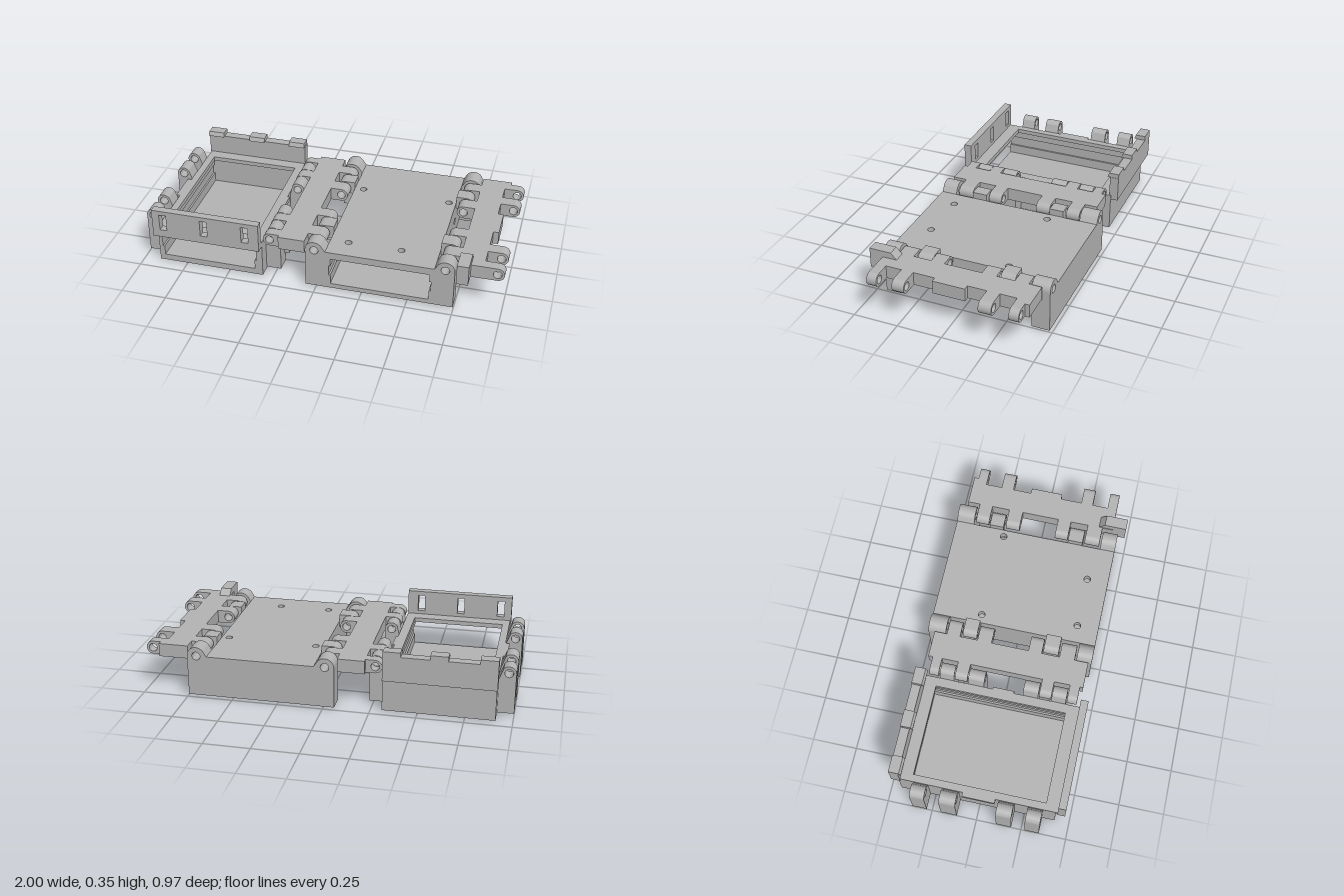
import * as THREE from 'three';

const grey = new THREE.MeshStandardMaterial({ color: 0xb3b3b3 });
grey.name = 'plain grey';
const PIVOT_Y = 0.236, PIN_R = 0.023;

function add(parent, name, geometry) {
  const mesh = new THREE.Mesh(geometry, grey);
  mesh.name = name;
  parent.add(mesh);
  return mesh;
}

// Box given by its limits
function block(parent, name, x0, x1, y0, y1, z0, z1) {
  const g = new THREE.BoxGeometry(x1 - x0, y1 - y0, z1 - z0);
  g.translate((x0 + x1) / 2, (y0 + y1) / 2, (z0 + z1) / 2);
  return add(parent, name, g);
}

const poly = (pts) => new THREE.Shape(pts.map(([a, b]) => new THREE.Vector2(a, b)));
const rect = (a0, a1, b0, b1) => poly([[a0, b0], [a1, b0], [a1, b1], [a0, b1]]);
const circle = (a, b, r) => new THREE.Path().absarc(a, b, r, 0, Math.PI * 2, false);
const extrude = (shape, depth) =>
  new THREE.ExtrudeGeometry(shape, { depth, bevelEnabled: false, curveSegments: 16 });

// Extrusions of an x-y, z-y or x-z outline
const alongZ = (shape, z0, z1) => extrude(shape, z1 - z0).translate(0, 0, z0);
const alongX = (shape, x0, x1) => extrude(shape, x1 - x0).rotateY(-Math.PI / 2).translate(x1, 0, 0);
const alongY = (shape, y0, y1) => extrude(shape, y1 - y0).rotateX(Math.PI / 2).translate(0, y1, 0);

// Hinge finger reaching from a body edge to a pin hole
function finger(parent, edge, pivot, r, z0, z1) {
  const s = new THREE.Shape();
  s.moveTo(edge, PIVOT_Y - r);
  s.lineTo(pivot, PIVOT_Y - r);
  s.absarc(pivot, PIVOT_Y, r, -Math.PI / 2, Math.PI / 2, pivot < edge);
  s.lineTo(edge, PIVOT_Y + r);
  s.closePath();
  s.holes.push(circle(pivot, PIVOT_Y, PIN_R));
  add(parent, 'hingeFinger', alongZ(s, z0, z1));
}

// Full-height post with a rounded knuckle on top
function post(parent, inner, pivot, r, shoulder, z0, z1) {
  const d = Math.sign(pivot - inner);
  const s = new THREE.Shape();
  s.moveTo(inner, 0.008);
  s.lineTo(pivot + d * r, 0.008);
  s.lineTo(pivot + d * r, PIVOT_Y);
  s.absarc(pivot, PIVOT_Y, r, d > 0 ? 0 : Math.PI, d > 0 ? Math.PI * 0.8 : Math.PI * 0.2, d < 0);
  s.lineTo(inner, shoulder);
  s.closePath();
  s.holes.push(circle(pivot, PIVOT_Y, PIN_R));
  add(parent, 'hingePost', alongZ(s, z0, z1));
}

function openTray() {
  const g = new THREE.Group();
  g.name = 'openTray';
  block(g, 'trayFloor', -0.91, -0.31, 0, 0.035, -0.445, 0.42);
  block(g, 'trayBackWall', -0.91, -0.31, 0.035, 0.19, -0.445, -0.39);
  // Side walls, each with a groove on the inside
  for (const [x0, x1, i0, i1] of [[-0.91, -0.89, -0.89, -0.88], [-0.345, -0.31, -0.355, -0.345]]) {
    block(g, 'traySideWall', x0, x1, 0.035, 0.19, -0.39, 0.42);
    block(g, 'lowerRail', i0, i1, 0.035, 0.09, -0.39, 0.42);
    block(g, 'upperRail', i0, i1, 0.15, 0.19, -0.39, 0.42);
  }
  // Rim around the top opening
  const rim = rect(-0.91, -0.31, -0.445, 0.43);
  rim.holes.push(rect(-0.87, -0.36, -0.37, 0.36));
  add(g, 'trayRim', alongY(rim, 0.19, 0.215));
  block(g, 'rimTabRight', -0.932, -0.91, 0.19, 0.215, -0.09, 0.09);
  block(g, 'rimTabLeft', -0.31, -0.298, 0.19, 0.215, -0.06, 0.06);
  // Slotted plate at the front
  const plate = rect(-0.915, -0.31, 0.19, 0.355);
  for (const x of [-0.853, -0.62, -0.388]) plate.holes.push(rect(x - 0.02, x + 0.02, 0.235, 0.33));
  add(g, 'slottedPlate', alongZ(plate, 0.43, 0.472));
  // Back plate with three snap hooks
  block(g, 'hookPlate', -0.915, -0.315, 0.188, 0.33, -0.485, -0.435);
  const hook = poly([[-0.485, 0.33], [-0.435, 0.33], [-0.418, 0.33], [-0.428, 0.355], [-0.485, 0.355]]);
  for (const x of [-0.868, -0.612, -0.364])
    add(g, 'snapHook', alongX(hook, x - 0.047, x + 0.047));
  // Hinge posts on both sides
  for (const [z0, z1] of [[-0.36, -0.28], [-0.2, -0.11], [0.11, 0.195], [0.27, 0.35]]) {
    post(g, -0.91, -0.962, 0.038, 0.2, z0, z1);
    post(g, -0.31, -0.265, 0.038, 0.2, z0, z1);
  }
  return g;
}

function closedCase() {
  const g = new THREE.Group();
  g.name = 'closedCase';
  block(g, 'caseFloor', 0.05, 0.64, 0.008, 0.035, -0.485, 0.445);
  block(g, 'caseBackWall', 0.05, 0.64, 0.035, 0.195, -0.485, -0.45);
  // Side walls, the left one with a round hole
  for (const [x0, x1, i0, i1, hole] of [[0.05, 0.07, 0.07, 0.08, false], [0.625, 0.64, 0.615, 0.625, true]]) {
    const wall = rect(-0.45, 0.445, 0.035, 0.195);
    if (hole) wall.holes.push(circle(-0.195, 0.12, 0.019));
    add(g, 'caseSideWall', alongX(wall, x0, x1));
    block(g, 'lowerRail', i0, i1, 0.035, 0.09, -0.45, 0.445);
    block(g, 'upperRail', i0, i1, 0.15, 0.195, -0.45, 0.445);
  }
  // Lid with four small holes
  const lid = rect(0.05, 0.64, -0.485, 0.445);
  for (const [x, z] of [[0.1, -0.215], [0.6, -0.2], [0.15, 0.325], [0.44, 0.325]])
    lid.holes.push(circle(x, z, 0.019));
  add(g, 'caseLid', alongY(lid, 0.195, 0.236));
  // Corner posts and inner hinge fingers
  for (const [inner, pivot] of [[0.05, -0.01], [0.64, 0.697]]) {
    post(g, inner, pivot, 0.05, 0.236, -0.485, -0.385);
    post(g, inner, pivot, 0.05, 0.236, 0.36, 0.445);
    finger(g, inner, pivot, 0.037, -0.29, -0.21);
    finger(g, inner, pivot, 0.037, 0.17, 0.255);
  }
  return g;
}

// Finger positions along the outer and case-side hinges
const NARROW = [[-0.42, -0.367], [-0.275, -0.205], [0.2, 0.267], [0.355, 0.41]];
const WIDE = [[-0.375, -0.3], [-0.2, -0.12], [0.09, 0.165], [0.265, 0.35]];

function link(name, x0, x1, leftPivot, leftRows, rightPivot, rightRows, z0, z1) {
  const g = new THREE.Group();
  g.name = name;
  block(g, 'linkPlate', x0, x1, 0.199, 0.273, z0, z1);
  for (const [a, b] of leftRows) finger(g, x0, leftPivot, 0.037, a, b);
  for (const [a, b] of rightRows) finger(g, x1, rightPivot, 0.037, a, b);
  return g;
}

export function createModel() {
  const model = new THREE.Group();
  model.name = 'hingedCases';
  const middle = link('middleLink', -0.215, -0.068, -0.268, NARROW, -0.008, WIDE, -0.445, 0.428);
  const end = link('endLink', 0.757, 0.89, 0.695, WIDE, 0.963, NARROW, -0.445, 0.41);
  block(end, 'endTab', 0.89, 0.92, 0.199, 0.273, -0.1, 0.08);
  block(end, 'endCorner', 0.89, 0.92, 0.199, 0.273, -0.445, -0.367);
  // Raised latch at the front of the end link
  const latch = poly([[0.33, 0.195], [0.485, 0.195], [0.485, 0.308], [0.362, 0.308], [0.33, 0.273]]);
  add(end, 'latch', alongX(latch, 0.76, 0.823));
  model.add(openTray(), middle, closedCase(), end);
  return model;
}
